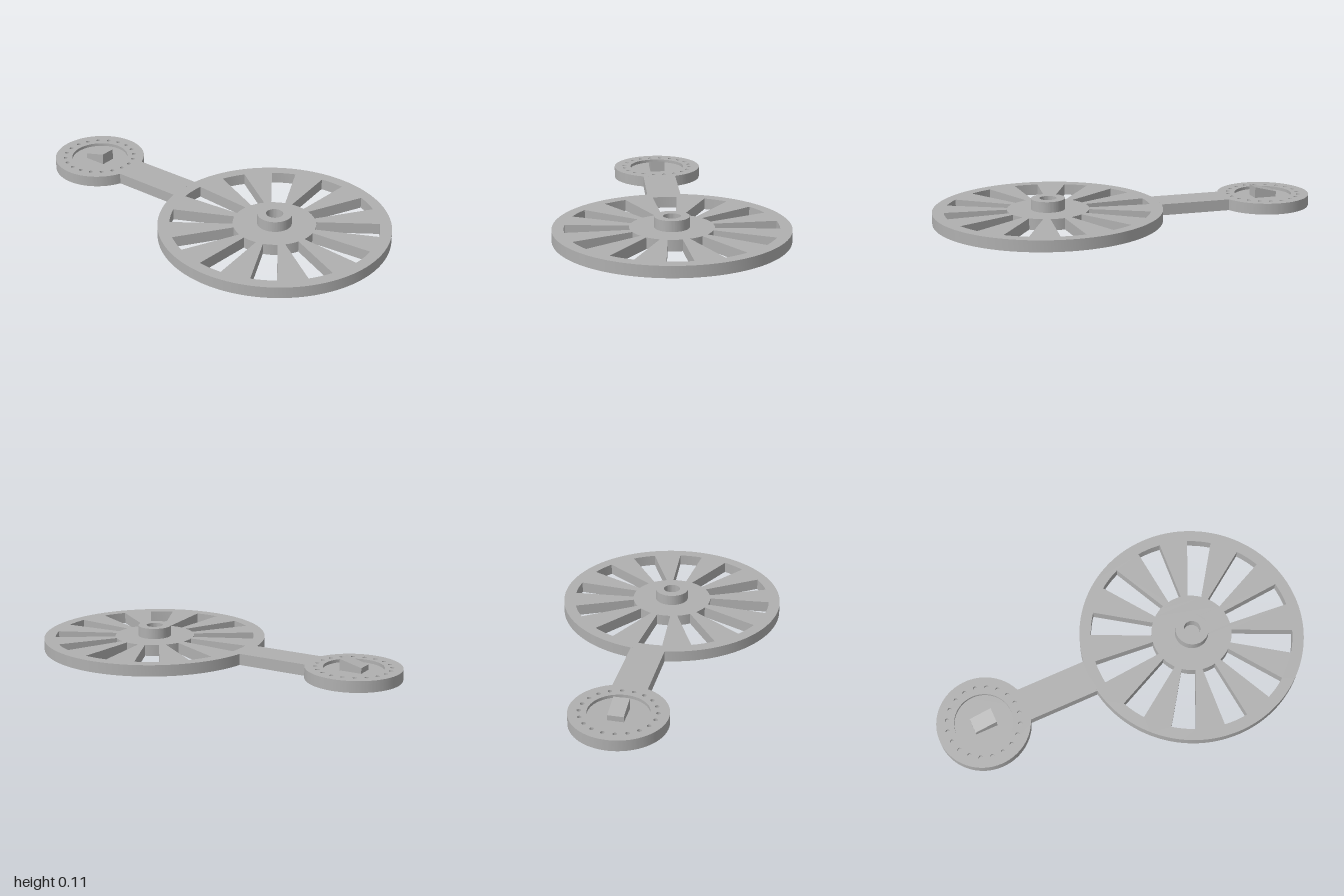
import * as THREE from 'three';
import { toCreasedNormals } from 'three/addons/utils/BufferGeometryUtils.js';

const H = 0.058;          // plate thickness
const FLOOR = 0.042;      // bottom of the shallow recesses in the dial
const WHEEL = { x: 0.415, r: 0.585 };
const DIAL = { x: -0.759, r: 0.241 };

export function createModel() {
  const model = new THREE.Group();
  const grey = new THREE.MeshStandardMaterial({ color: 0xb0b0b0 });
  grey.name = 'grey';

  const add = (name, geometry, x = 0, y = 0) => {
    const mesh = new THREE.Mesh(geometry, grey);
    mesh.name = name;
    mesh.position.set(x, y, 0);
    model.add(mesh);
  };
  // Extrudes a plan-view shape upwards with smooth curved walls
  const slab = (shape, depth, curveSegments = 96) => {
    const g = new THREE.ExtrudeGeometry(shape, { depth, bevelEnabled: false, curveSegments });
    return toCreasedNormals(g.rotateX(-Math.PI / 2), 0.5);
  };
  const disc = (r) => new THREE.Shape().absarc(0, 0, r, 0, Math.PI * 2, false);
  const hole = (x, y, r, n) => new THREE.Path(
    Array.from({ length: n }, (_, i) => {
      const a = -i / n * Math.PI * 2;
      return new THREE.Vector2(x + r * Math.cos(a), y + r * Math.sin(a));
    }));

  // Wheel with twelve tapered slots, each closed by arcs at both ends
  const wheel = disc(WHEEL.r);
  const inner = 0.209, outer = 0.526;
  const ai = Math.asin(0.036 / inner), ao = Math.asin(0.063 / outer);
  for (let i = 0; i < 12; i++) {
    const c = i * Math.PI / 6;
    const pts = [];
    for (let k = 0; k <= 6; k++) {
      const a = c - ao + 2 * ao * k / 6;
      pts.push(new THREE.Vector2(outer * Math.cos(a), outer * Math.sin(a)));
    }
    for (let k = 0; k <= 6; k++) {
      const a = c + ai - 2 * ai * k / 6;
      pts.push(new THREE.Vector2(inner * Math.cos(a), inner * Math.sin(a)));
    }
    wheel.holes.push(new THREE.Path(pts));
  }
  add('slottedWheel', slab(wheel, H), WHEEL.x);

  // Raised hub with a blind bore
  const hub = disc(0.087);
  hub.holes.push(hole(0, 0, 0.043, 48));
  add('hub', slab(hub, 0.113 - H, 48), WHEEL.x, H);

  // Arm whose ends follow both discs
  const w = 0.088;
  const aw = Math.asin(w / WHEEL.r), ad = Math.asin(w / DIAL.r);
  const arm = new THREE.Shape();
  arm.absarc(DIAL.x, 0, DIAL.r, ad, -ad, true);
  arm.absarc(WHEEL.x, 0, WHEEL.r, Math.PI + aw, Math.PI - aw, true);
  arm.closePath();
  add('arm', slab(arm, H, 16));

  // Dial: solid base, and a rim with a round recess and a ring of small holes
  add('dialBase', slab(disc(DIAL.r), FLOOR), DIAL.x);
  const rim = disc(DIAL.r);
  rim.holes.push(hole(0, 0, 0.15, 96));
  const count = 20;
  for (let i = 0; i < count; i++) {
    const a = (i + 0.5) / count * Math.PI * 2;
    rim.holes.push(hole(0.187 * Math.cos(a), 0.187 * Math.sin(a), 0.011, 12));
  }
  add('dialRim', slab(rim, H - FLOOR), DIAL.x, FLOOR);

  // Wedge rising towards the wheel
  const side = new THREE.Shape([
    new THREE.Vector2(-0.059, 0), new THREE.Vector2(0.059, 0),
    new THREE.Vector2(0.059, 0.1 - FLOOR), new THREE.Vector2(-0.059, 0.07 - FLOOR),
  ]);
  const wedge = new THREE.ExtrudeGeometry(side, { depth: 0.08, bevelEnabled: false });
  add('wedge', wedge.translate(0, 0, -0.04), DIAL.x, FLOOR);

  return model;
}
